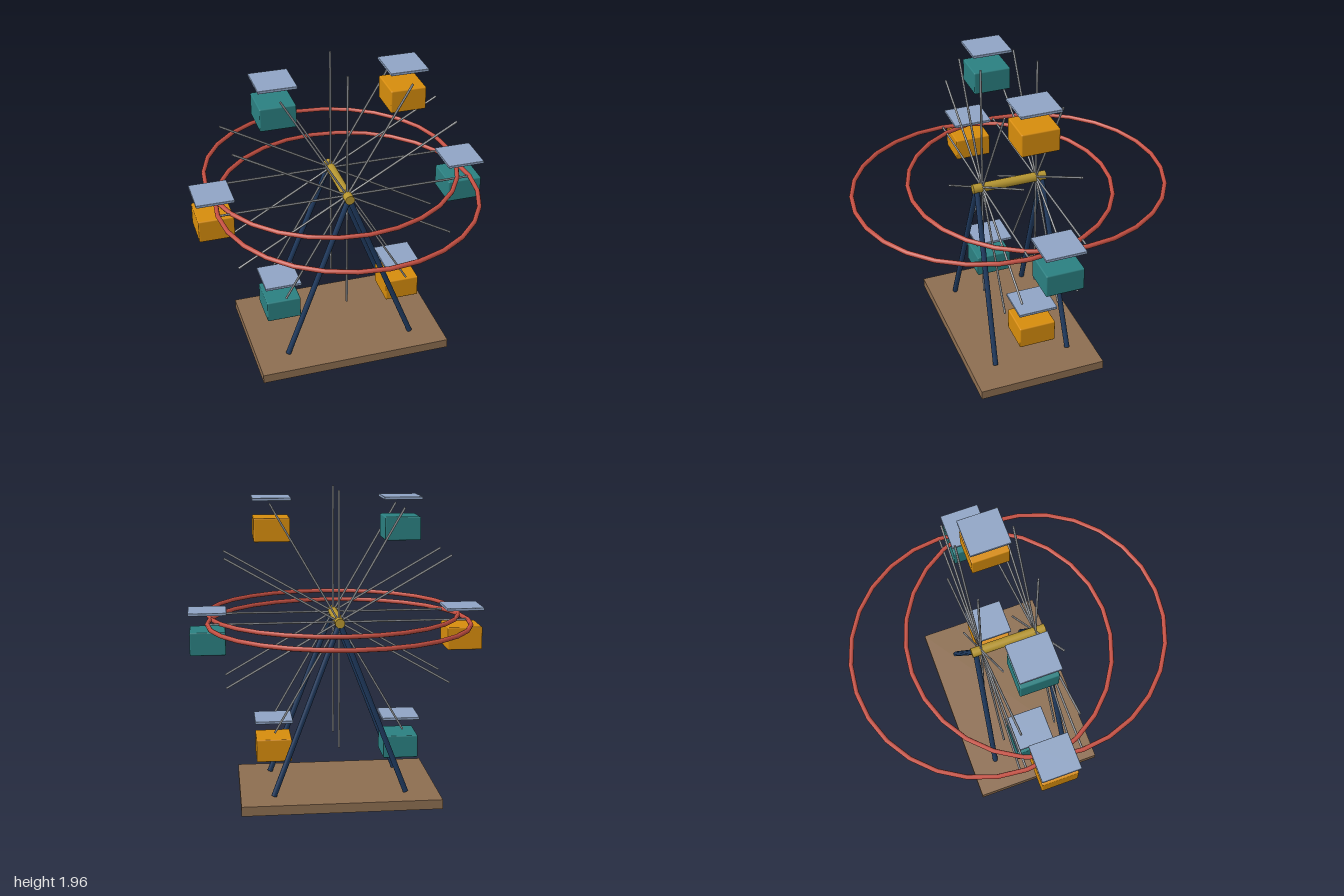
import * as THREE from 'three';
import { RoundedBoxGeometry } from 'three/addons/geometries/RoundedBoxGeometry.js';

const HUB_Y = 1.15, RADIUS = 0.805, WHEEL_Z = 0.178;

function paint(name, color) {
  const m = new THREE.MeshStandardMaterial({ color });
  m.name = name;
  return m;
}

function part(parent, name, geometry, material, x = 0, y = 0, z = 0) {
  const mesh = new THREE.Mesh(geometry, material);
  mesh.name = name;
  mesh.position.set(x, y, z);
  parent.add(mesh);
  return mesh;
}

// Round bar running between two points
function bar(parent, name, a, b, radius, sides, material) {
  const dir = b.clone().sub(a);
  const mesh = part(parent, name, new THREE.CylinderGeometry(radius, radius, dir.length(), sides), material);
  mesh.position.copy(a).add(b).multiplyScalar(0.5);
  mesh.quaternion.setFromUnitVectors(new THREE.Vector3(0, 1, 0), dir.normalize());
  return mesh;
}

export function createModel() {
  const wood = paint('wood brown', 0x8c6d50);
  const navy = paint('navy', 0x1f3a5f);
  const brass = paint('brass', 0xb5952f);
  const steel = paint('steel grey', 0x8a8d91);
  const red = paint('ring red', 0xc44f42);
  const teal = paint('teal', 0x2a7f80);
  const orange = paint('orange', 0xd68c0c);
  const blue = paint('roof blue', 0x8fa4c4);

  const model = new THREE.Group();
  model.name = 'ferrisWheel';

  // Platform and axle
  part(model, 'base', new THREE.BoxGeometry(1.245, 0.06, 0.83), wood, 0, 0.03, 0);
  part(model, 'axle', new THREE.CylinderGeometry(0.03, 0.03, 0.482, 16), brass, 0, HUB_Y, 0).rotation.x = Math.PI / 2;

  for (const side of [1, -1]) {
    // A-frame legs
    for (const s of [1, -1]) {
      bar(model, 'supportLeg',
        new THREE.Vector3(s * 0.415, 0.065, side * 0.248),
        new THREE.Vector3(0, HUB_Y, side * 0.215), 0.0175, 10, navy);
    }

    // Level ring and upright fan of spokes
    const ring = part(model, 'ring', new THREE.TorusGeometry(RADIUS, 0.0145, 8, 28), red, 0, HUB_Y, side * WHEEL_Z);
    ring.rotation.x = Math.PI / 2;
    const hub = new THREE.Vector3(0, HUB_Y, side * WHEEL_Z);
    for (let i = 0; i < 12; i++) {
      const a = i * Math.PI / 6;
      const tip = new THREE.Vector3(Math.cos(a), Math.sin(a), 0).multiplyScalar(RADIUS).add(hub);
      bar(model, 'spoke', hub, tip, 0.007, 6, steel);
    }
  }

  // Six cabins in alternating colours, each with a floating flat roof
  const cabinShape = new RoundedBoxGeometry(0.222, 0.145, 0.236, 2, 0.008);
  const roofShape = new RoundedBoxGeometry(0.238, 0.018, 0.252, 1, 0.004);
  for (let i = 0; i < 6; i++) {
    const a = i * Math.PI / 3;
    const gondola = new THREE.Group();
    gondola.name = 'gondola';
    gondola.position.set(RADIUS * Math.cos(a), HUB_Y + RADIUS * Math.sin(a), 0);
    part(gondola, 'cabin', cabinShape, i % 2 ? orange : teal, 0, -0.136, 0);
    part(gondola, 'roof', roofShape, blue, 0, 0.05, 0);
    model.add(gondola);
  }
  return model;
}
